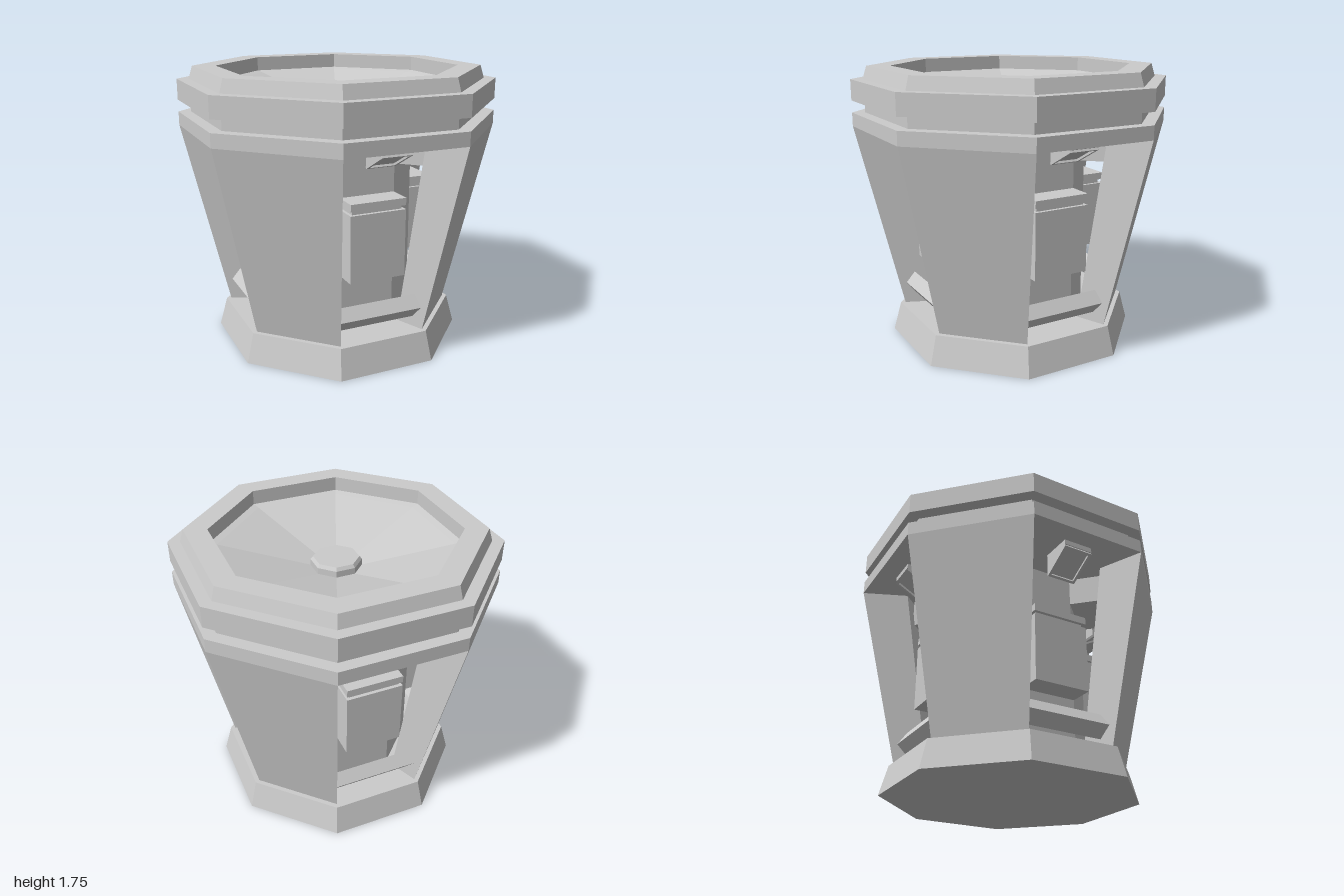
import * as THREE from 'three';

const EIGHTH = Math.PI / 4;

export function createModel() {
  const root = new THREE.Group();
  const mat = new THREE.MeshStandardMaterial({ color: 0xcccccc, flatShading: true });

  const add = (parent, name, geo) => {
    const mesh = new THREE.Mesh(geo, mat);
    mesh.name = name;
    parent.add(mesh);
    return mesh;
  };
  // Octagonal solid of revolution, profile as [radius, y] from bottom to top
  const octagon = (name, profile) =>
    add(root, name, new THREE.LatheGeometry(profile.map(p => new THREE.Vector2(...p)), 8));
  // Box given by width, y range and z range
  const block = (w, y0, y1, z0, z1) =>
    new THREE.BoxGeometry(w, y1 - y0, z1 - z0).translate(0, (y0 + y1) / 2, (z0 + z1) / 2);
  // Prism across x from a side profile of [z, y]
  const prism = (w, profile) => {
    const shape = new THREE.Shape(profile.map(p => new THREE.Vector2(...p)));
    return new THREE.ExtrudeGeometry(shape, { depth: w, bevelEnabled: false })
      .rotateY(-Math.PI / 2).translate(w / 2, 0, 0);
  };
  // Leaning wall filling one eighth of the octagon, with radial sides
  const wall = () => {
    const geo = new THREE.BoxGeometry(1, 1, 1);
    const pos = geo.attributes.position;
    for (let i = 0; i < pos.count; i++) {
      const a = pos.getX(i) > 0 ? EIGHTH : 0;
      const top = pos.getY(i) > 0, outer = pos.getZ(i) > 0;
      const r = top ? (outer ? 1 : 0.707) : (outer ? 0.72 : 0.525);
      pos.setXYZ(i, r * Math.sin(a), top ? 1.38 : 0.185, r * Math.cos(a));
    }
    return geo;
  };

  // Base, core and ring
  octagon('base', [[0, 0], [0.8, 0], [0.75, 0.185], [0, 0.185]]);
  octagon('core', [[0.474, 0.18], [0.474, 1.39]]);
  octagon('lowerRing', [[0.59, 0.325], [0.643, 0.25], [0.707, 0.325], [0.652, 0.4], [0.59, 0.325]]);

  // Head with groove, bevelled rim and sunken funnel
  octagon('head', [
    [0, 1.38], [1, 1.38], [1, 1.465], [0.92, 1.465], [0.92, 1.54], [1, 1.54], [1, 1.67],
    [0.925, 1.67], [0.9, 1.75], [0.755, 1.75], [0.755, 1.66], [0.707, 1.65],
    [0.15, 1.51], [0, 1.51],
  ]);
  octagon('centreNub', [[0.155, 1.48], [0.155, 1.55], [0.14, 1.57], [0, 1.57]]);

  // Four walls alternating with four open bays
  for (let k = 0; k < 4; k++) {
    const quarter = new THREE.Group();
    quarter.name = 'quarter' + (k + 1);
    quarter.rotation.y = k * Math.PI / 2;
    root.add(quarter);

    add(quarter, 'wall', wall());
    add(quarter, 'wallBrace', block(0.363, 1.2, 1.38, 0.42, 0.64)).rotation.y = EIGHTH / 2;

    const bay = new THREE.Group();
    bay.name = 'bay';
    bay.rotation.y = -EIGHTH / 2;
    quarter.add(bay);

    // Cabinet on the core with a shallow groove below its lid
    add(bay, 'cabinet', block(0.363, 0.535, 0.955, 0.42, 0.592));
    add(bay, 'cabinetGroove', block(0.325, 0.95, 0.985, 0.42, 0.57));
    add(bay, 'cabinetLid', block(0.363, 0.98, 1.025, 0.42, 0.592));

    // Slanted lamp under the head with a raised frame
    add(bay, 'lamp', prism(0.19, [[0.803, 1.39], [0.803, 1.35], [0.607, 1.245], [0.607, 1.39]]));
    const w = 0.095, h = 0.111, b = 0.016;
    const rect = (x, y) => [[-x, -y], [x, -y], [x, y], [-x, y]].map(p => new THREE.Vector2(...p));
    const shape = new THREE.Shape(rect(w, h));
    shape.holes.push(new THREE.Path(rect(w - b, h - b)));
    const frame = add(bay, 'lampFrame',
      new THREE.ExtrudeGeometry(shape, { depth: 0.015, bevelEnabled: false }));
    frame.rotation.x = Math.atan2(0.881, 0.472);
    frame.position.set(0, 1.297, 0.7);
  }
  return root;
}
